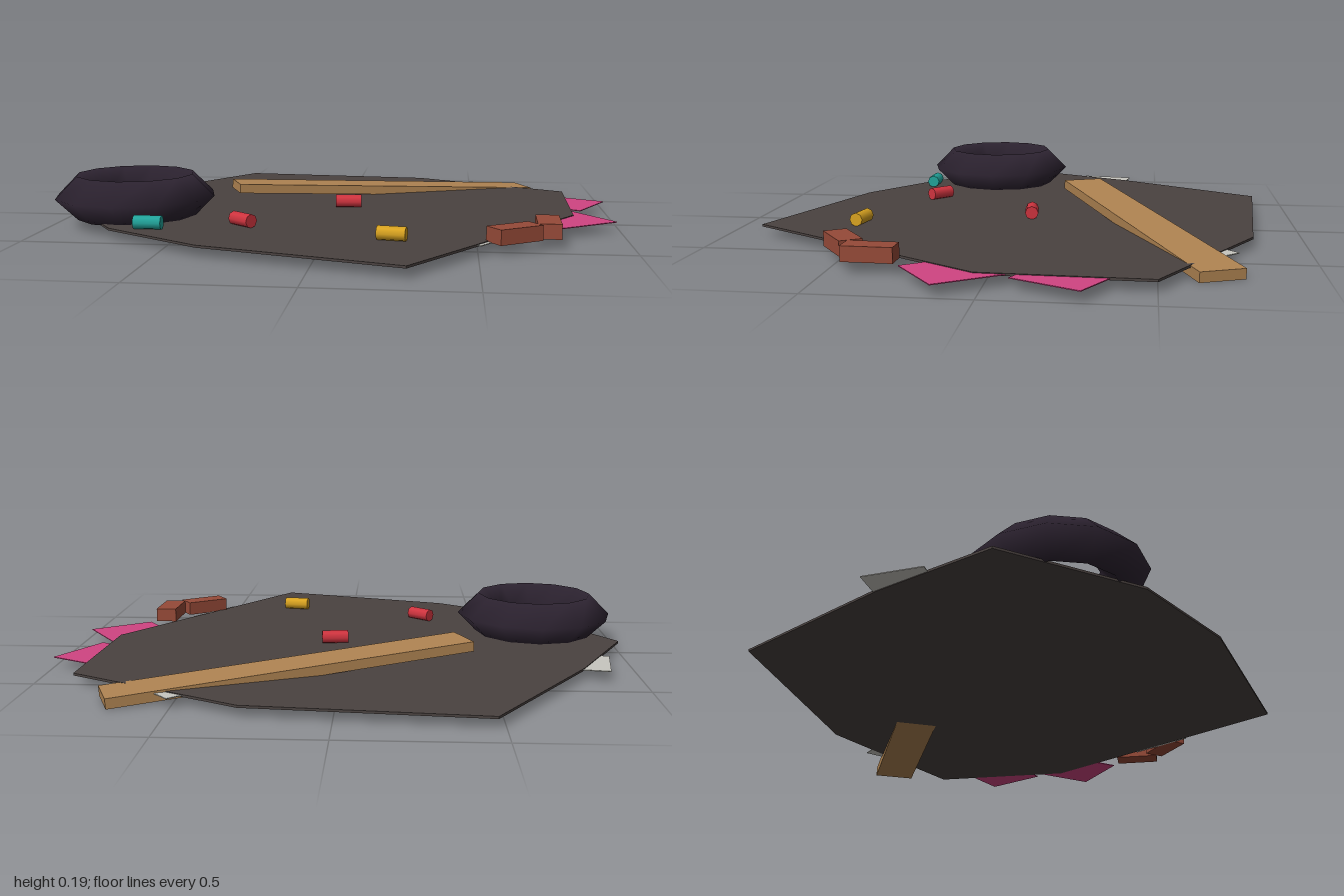
import * as THREE from 'three';

const mat = (name, color) => {
  const m = new THREE.MeshStandardMaterial({ color });
  m.name = name;
  return m;
};

export function createModel() {
  const group = new THREE.Group();
  const dirt = mat('dirt', 0x4a4240);
  const rubber = mat('rubber', 0x2e2432);
  const wood = mat('wood', 0xb08452);
  const red = mat('red', 0xd0343f);
  const teal = mat('teal', 0x22a59c);
  const yellow = mat('yellow', 0xd9a320);
  const clay = mat('clay', 0x964a38);
  const pink = mat('pink', 0xd04482);
  const grey = mat('paper grey', 0xc8c7c0);

  const add = (name, geometry, material, x, y, z, turn = 0, tilt = 0) => {
    const mesh = new THREE.Mesh(geometry, material);
    mesh.name = name;
    mesh.position.set(x, y, z);
    mesh.rotation.set(0, turn, tilt);
    group.add(mesh);
  };

  // Irregular ground patch, outline given as x, z
  const outline = [
    [-1, 0.02], [-0.81, -0.36], [-0.475, -0.887], [0.283, -0.818], [0.866, -0.5],
    [0.85, 0.03], [0.29, 0.875], [-0.37, 0.67], [-0.72, 0.44],
  ].map(([x, z]) => new THREE.Vector2(x, z));
  const patch = new THREE.ExtrudeGeometry(new THREE.Shape(outline), { depth: 0.008, bevelEnabled: false });
  patch.rotateX(Math.PI / 2);
  add('groundPatch', patch, dirt, 0, 0.039, 0);

  // Old tyre lying flat
  const tyre = new THREE.TorusGeometry(0.208, 0.077, 4, 12);
  tyre.rotateX(Math.PI / 2);
  add('tyre', tyre, rubber, -0.705, 0.109, 0.171);

  // Sloping plank
  add('plank', new THREE.BoxGeometry(1.24, 0.034, 0.152), wood, 0.15, 0.052, -0.447, 0.403, -0.056);

  // Loose paper sheets tucked into the patch: material, x, z, turn, size
  [
    [pink, 0.838, -0.241, -0.49, 0.24],
    [pink, 0.82, 0.098, 0.607, 0.24],
    [grey, -0.81, -0.272, -0.163, 0.2],
    [grey, 0.5, -0.613, 0.75, 0.2],
    [grey, 0.475, 0.404, 0.985, 0.24],
  ].forEach(([m, x, z, turn, size]) =>
    add('paperSheet', new THREE.BoxGeometry(size, 0.003, size), m, x, 0.035, z, turn));

  // Cans on their sides: material, x, z, turn
  const can = new THREE.CylinderGeometry(0.024, 0.024, 0.094, 8);
  can.rotateZ(Math.PI / 2);
  [
    [red, 0.037, -0.05, 0.09],
    [red, -0.283, 0.352, -0.7],
    [yellow, 0.23, 0.533, -0.17],
    [teal, -0.585, 0.437, 0],
  ].forEach(([m, x, z, turn]) => add('can', can, m, x, 0.061, z, turn));

  // Bricks
  const brick = new THREE.BoxGeometry(0.165, 0.05, 0.077);
  add('brick', brick, clay, 0.73, 0.06, 0.367, 1.54);
  add('brick', brick, clay, 0.615, 0.06, 0.485, 0.6);

  return group;
}
